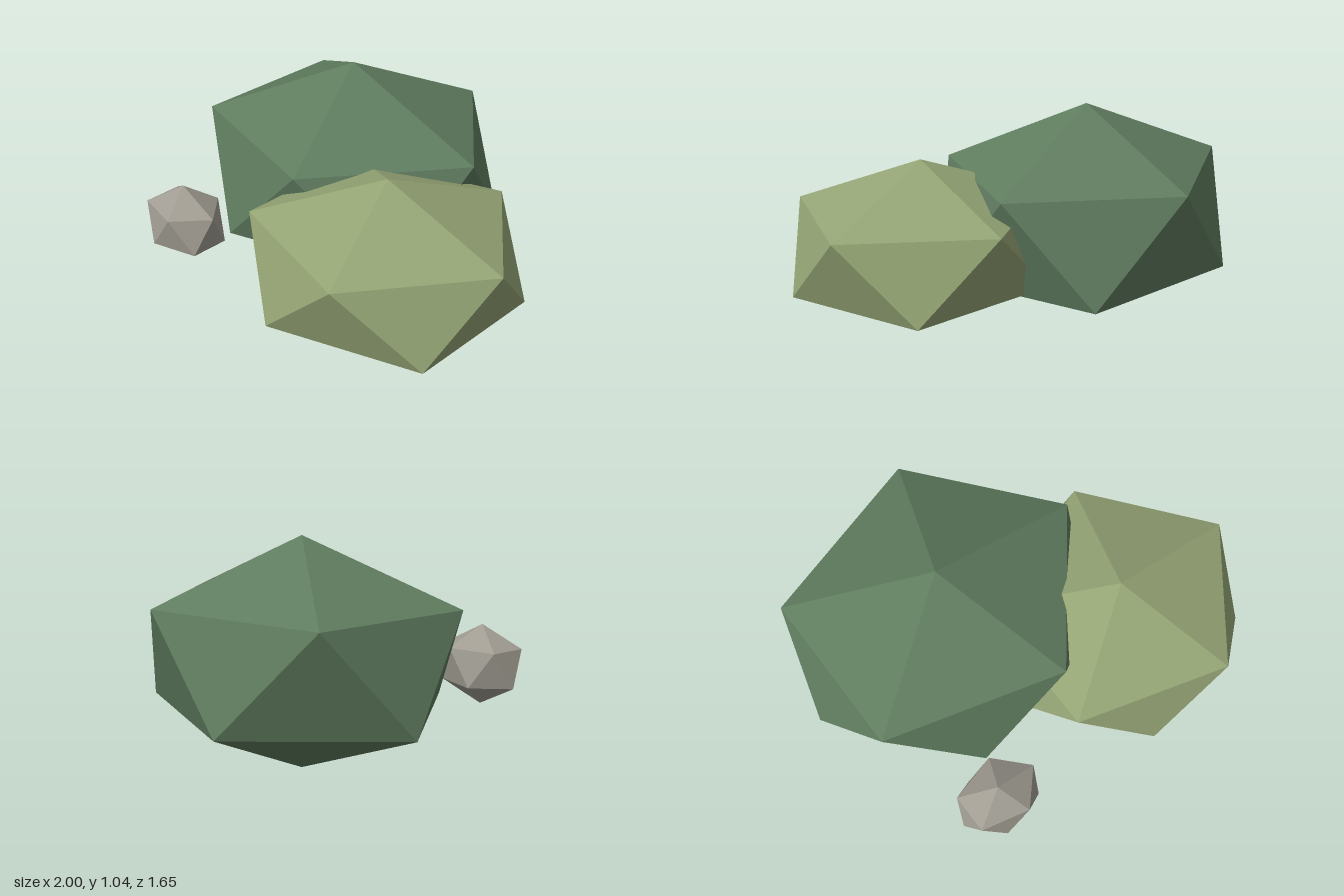
import * as THREE from 'three';

// Faceted icosahedron stood on one vertex, stretched to the given half-sizes
function makeBoulder(name, material, centre, radii) {
  const geometry = new THREE.IcosahedronGeometry(1, 0);
  const golden = (1 + Math.sqrt(5)) / 2;
  geometry.rotateZ(-Math.atan(1 / golden));
  geometry.scale(...radii);
  geometry.computeVertexNormals();
  const mesh = new THREE.Mesh(geometry, material);
  mesh.name = name;
  mesh.position.set(...centre);
  return mesh;
}

function makeMaterial(name, color) {
  const material = new THREE.MeshStandardMaterial({ color, flatShading: true });
  material.name = name;
  return material;
}

export function createModel() {
  const group = new THREE.Group();
  group.name = 'bushCluster';
  group.add(
    // Large bush at the back
    makeBoulder('largeBush', makeMaterial('darkGreen', 0x5f7c5f), [-0.268, 0.52, -0.203], [0.819, 0.52, 0.657 / 0.8944]),
    // Smaller bush at the front left
    makeBoulder('smallBush', makeMaterial('oliveGreen', 0x94a474), [0.38, 0.47, 0.274], [0.692, 0.385, 0.645]),
    // Little stone at the front right
    makeBoulder('stone', makeMaterial('stoneGrey', 0xa09c92), [-0.57, 0.412, 0.617], [0.222, 0.187, 0.174])
  );
  return group;
}
